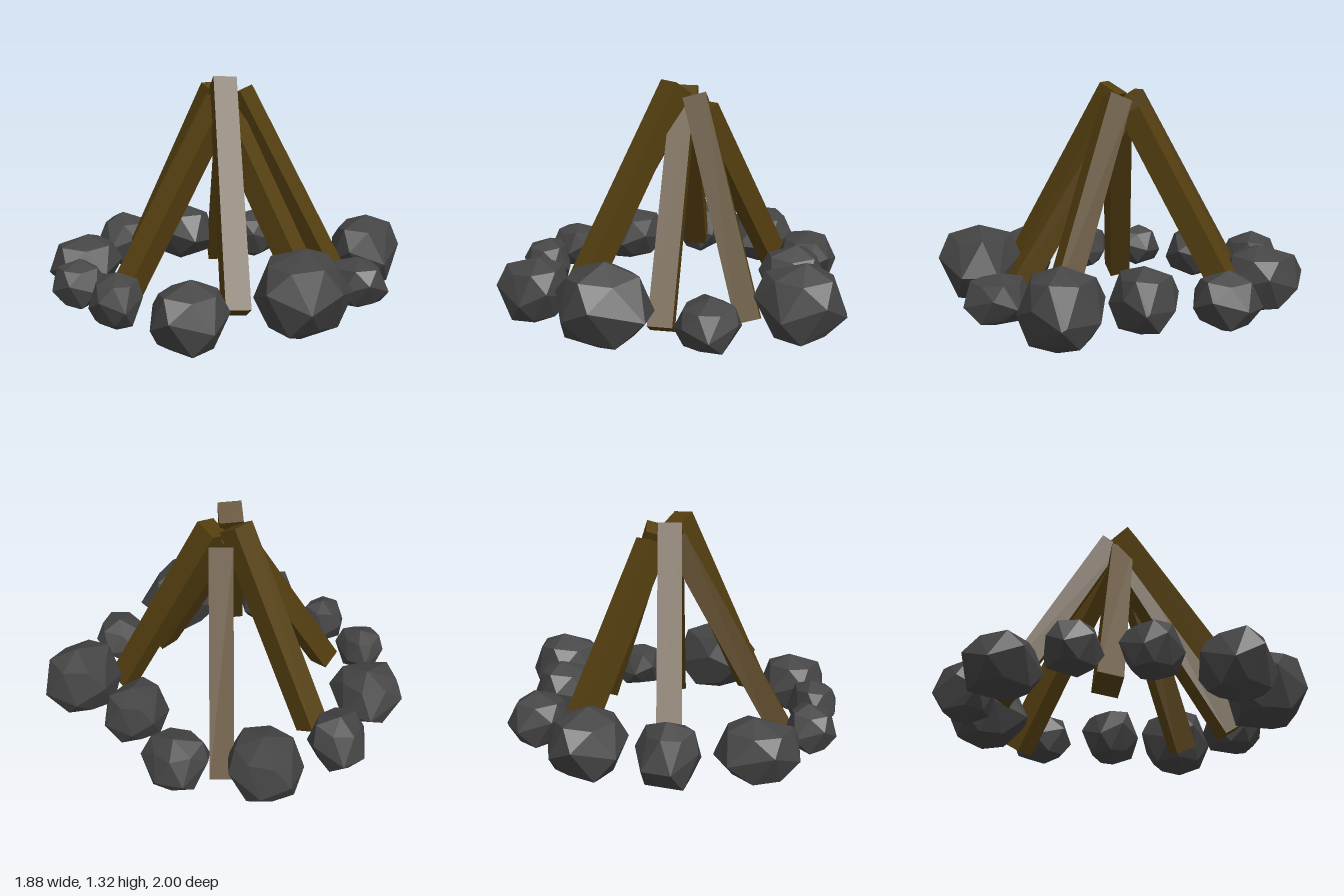
import * as THREE from 'three';
import { ConvexGeometry } from 'three/addons/geometries/ConvexGeometry.js';

const wood = new THREE.MeshStandardMaterial({ color: 0x553f10, flatShading: true });
const stone = new THREE.MeshStandardMaterial({ color: 0x444444, flatShading: true });

// Square beam between two end centres, rolled about its own length
function makeLog(bottom, top, roll) {
  const a = new THREE.Vector3(...bottom);
  const b = new THREE.Vector3(...top);
  const axis = b.clone().sub(a);
  const length = axis.length();
  axis.normalize();
  const side = new THREE.Vector3(0, 1, 0).cross(axis).normalize();
  const inner = side.clone().cross(axis);
  const log = new THREE.Mesh(new THREE.BoxGeometry(0.13, length, 0.13).rotateY(roll), wood);
  log.quaternion.setFromRotationMatrix(new THREE.Matrix4().makeBasis(side, axis, inner));
  log.position.copy(a).add(b).multiplyScalar(0.5);
  return log;
}

// Faceted boulder: hull of a wavy seven-sided belt, two narrower rings and two caps
function makeRock([x, y, z], [rx, ry, rz], turn, firstCorner = 1.02) {
  const points = [];
  const add = (angle, radius, height) => points.push(new THREE.Vector3(
    Math.cos(angle) * radius * rx, height * ry, Math.sin(angle) * radius * rz));
  const sides = 7;
  add(turn, firstCorner, -0.1);
  for (let i = 0; i < sides; i++) {
    const angle = turn + (i / sides) * Math.PI * 2;
    const between = angle + Math.PI / sides;
    const wobble = Math.sin(i * 2.4 + turn * 9);
    add(angle + wobble * 0.12, 1.02 + 0.04 * wobble, i % 2 ? 0.2 : -0.16);
    add(between, 0.75 + 0.06 * wobble, 0.68 + 0.06 * wobble);
    add(between, 0.73 - 0.06 * wobble, -0.68 + 0.06 * wobble);
  }
  add(turn, 0.1, 1);
  add(turn + 2, 0.1, -1);
  const rock = new THREE.Mesh(new ConvexGeometry(points), stone);
  rock.position.set(x, y, z);
  return rock;
}

// Adds numbered parts made from rows of arguments to a named group
function makeGroup(name, partName, build, rows) {
  const group = new THREE.Group();
  group.name = name;
  rows.forEach((row, i) => {
    const part = build(...row);
    part.name = `${partName}${i + 1}`;
    group.add(part);
  });
  return group;
}

export function createModel() {
  const model = new THREE.Group();

  // Leaning logs: bottom centre, top centre, roll
  model.add(makeGroup('logs', 'log', makeLog, [
    [[0.03, 0.21, -0.64], [0.03, 1.24, -0.04], 0],
    [[0.57, 0.09, -0.47], [0.13, 1.15, -0.03], 0],
    [[-0.62, 0.08, -0.2], [0, 1.17, 0.02], 0.32],
    [[-0.49, 0.17, 0.51], [-0.01, 1.28, 0.04], 0.1],
    [[0, 0.11, 0.66], [0.02, 1.15, 0.01], 0.05],
    [[0.44, 0.12, 0.52], [0.1, 1.22, 0.06], -0.6],
  ]));

  // Ring of stones: centre, radii, direction of the first corner and its reach
  model.add(makeGroup('stoneRing', 'stone', makeRock, [
    [[-0.42, 0.2, -0.68], [0.22, 0.17, 0.21], 0],
    [[0.03, 0.23, -0.82], [0.16, 0.18, 0.17], -0.82, 1.2],
    [[0.45, 0.23, -0.67], [0.21, 0.19, 0.22], 2.13, 1.18],
    [[0.74, 0.22, -0.3], [0.18, 0.16, 0.18], -0.16],
    [[0.66, 0.24, 0.12], [0.19, 0.18, 0.17], 0.25],
    [[0.7, 0.25, 0.56], [0.23, 0.22, 0.21], 0.17],
    [[0.25, 0.2, 0.77], [0.17, 0.14, 0.18], -0.45],
    [[-0.28, 0.27, 0.76], [0.25, 0.23, 0.23], 0.6, 1.2],
    [[-0.74, 0.19, 0.41], [0.2, 0.19, 0.2], 0.05],
    [[-0.8, 0.2, -0.03], [0.14, 0.15, 0.15], 0.2],
    [[-0.73, 0.2, -0.39], [0.14, 0.14, 0.15], -0.07],
  ]));
  return model;
}
